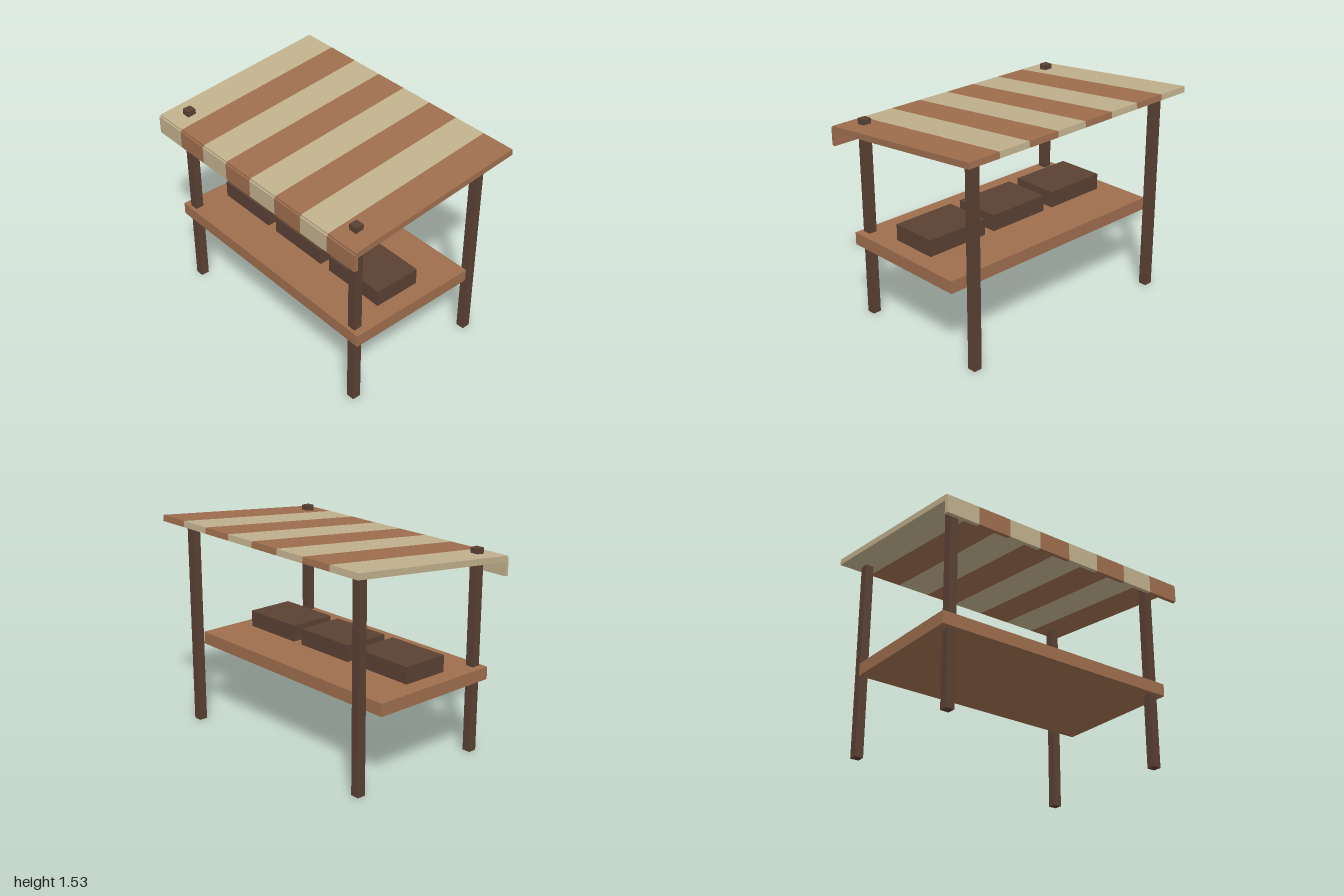
import * as THREE from 'three';

export function createModel() {
  const model = new THREE.Group();
  model.name = 'marketStall';

  const makeMaterial = (name, color) => {
    const m = new THREE.MeshStandardMaterial({ color });
    m.name = name;
    return m;
  };
  const darkWood = makeMaterial('darkWood', 0x5a4033);
  const brown = makeMaterial('warmBrown', 0x9e6e4e);
  const cream = makeMaterial('creamCloth', 0xc0b08d);

  // Axis-aligned box from its size and centre
  const addBox = (parent, name, material, [w, h, d], [x, y, z]) => {
    const mesh = new THREE.Mesh(new THREE.BoxGeometry(w, h, d), material);
    mesh.name = name;
    mesh.position.set(x, y, z);
    parent.add(mesh);
    return mesh;
  };

  // The frame sits slightly to the right of the awning's centre
  const frame = new THREE.Group();
  frame.name = 'frame';
  frame.position.x = -0.008;
  model.add(frame);

  // Four posts; the front pair pokes through the awning
  for (const side of [-1, 1]) {
    addBox(frame, 'frontPost', darkWood, [0.062, 1.45, 0.062], [side * 0.851, 0.725, 0.525]);
    addBox(frame, 'backPost', darkWood, [0.062, 1.45, 0.062], [side * 0.851, 0.725, -0.53]);
  }

  // Counter with three crates
  addBox(frame, 'counter', brown, [1.872, 0.09, 0.993], [0, 0.58, 0.083]);
  for (const i of [-1, 0, 1]) {
    addBox(frame, 'crate', darkWood, [0.482, 0.12, 0.35], [i * 0.567, 0.685, 0.11]);
  }

  // Striped awning: sloping roof and hanging front valance
  const roof = new THREE.Group();
  roof.name = 'awningRoof';
  roof.position.set(0, 1.442, -0.0045);
  roof.rotation.x = 0.1;
  const valance = new THREE.Group();
  valance.name = 'awningValance';
  model.add(roof, valance);

  const stripes = 8;
  const width = 2 / stripes;
  for (let i = 0; i < stripes; i++) {
    const x = -1 + width * (i + 0.5);
    const material = i % 2 ? brown : cream;
    addBox(roof, 'roofStripe', material, [width, 0.043, 1.35], [x, 0, 0]);
    addBox(valance, 'valanceStripe', material, [width, 0.126, 0.028], [x, 1.321, 0.666]);
  }

  return model;
}
